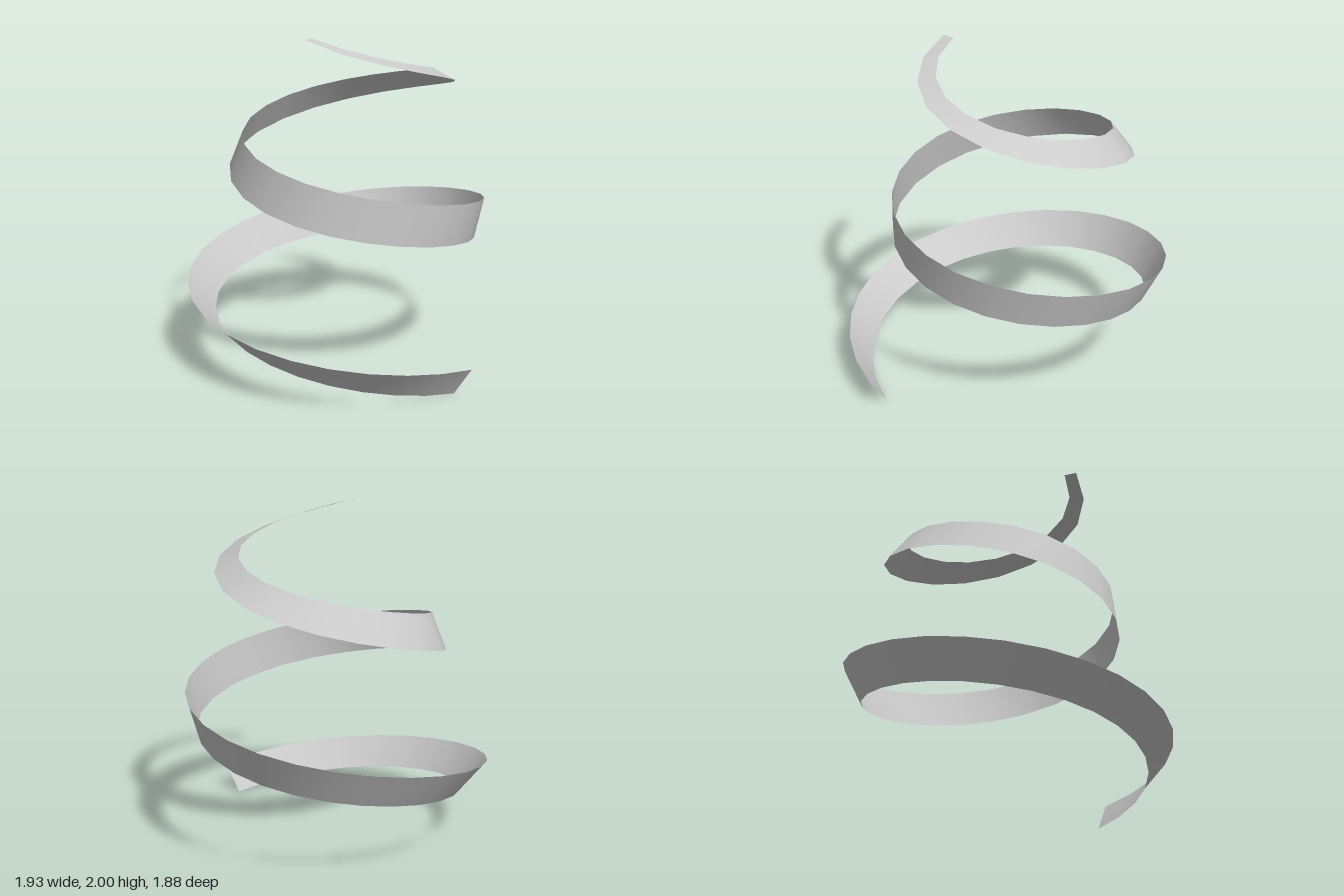
import * as THREE from 'three';

const SEGMENTS = 50;
const START = THREE.MathUtils.degToRad(2.8);
const END = THREE.MathUtils.degToRad(792);
const R_TOP = 0.486, R_BOTTOM = 0.975;
const Y_TOP = 2.0, Y_BOTTOM = 0.09;
const CENTRE = new THREE.Vector3(-0.024, 0, -0.076);

// Ribbon width vector (outward, upward) at even steps of angle: it twists as it descends
const WIDTH = new THREE.CatmullRomCurve3([
  [-0.075, 0], [-0.125, 0.05], [-0.14, 0.13], [-0.105, 0.2], [-0.048, 0.25],
  [0.03, 0.25], [0.09, 0.233], [0.138, 0.205], [0.17, 0.167], [0.112, 0.18],
].map(([r, y]) => new THREE.Vector3(r, y, 0)), false, 'catmullrom');

// Upper and lower edge points of the ribbon at u = 0 (top) to 1 (bottom)
function edges(u) {
  // even steps along the spiral's length
  const r = Math.sqrt(R_TOP ** 2 + (R_BOTTOM ** 2 - R_TOP ** 2) * u);
  const t = (r - R_TOP) / (R_BOTTOM - R_TOP);
  const a = START + (END - START) * t;
  const slope = (Y_TOP - Y_BOTTOM) / (END - START) / r;

  const outward = new THREE.Vector3(Math.sin(a), 0, Math.cos(a));
  const forward = new THREE.Vector3(Math.cos(a), 0, -Math.sin(a));
  const middle = outward.clone().multiplyScalar(r).add(CENTRE);
  middle.y = Y_TOP + (Y_BOTTOM - Y_TOP) * t;

  // the cross line stays square to the sloping path
  const w = WIDTH.getPoint(t);
  const h = w.y / (1 + slope * slope);
  const half = outward.multiplyScalar(w.x)
    .addScaledVector(forward, slope * h)
    .add(new THREE.Vector3(0, h, 0))
    .multiplyScalar(0.5);
  return [middle.clone().add(half), middle.clone().sub(half)];
}

export function createModel() {
  const positions = [], indices = [];
  for (let i = 0; i <= SEGMENTS; i++) {
    for (const p of edges(i / SEGMENTS)) positions.push(p.x, p.y, p.z);
    if (i < SEGMENTS) {
      const k = 2 * i;
      indices.push(k, k + 1, k + 2, k + 1, k + 3, k + 2);
    }
  }
  const geometry = new THREE.BufferGeometry();
  geometry.setAttribute('position', new THREE.Float32BufferAttribute(positions, 3));
  geometry.setIndex(indices);
  geometry.computeVertexNormals();

  const ribbon = new THREE.Mesh(geometry, new THREE.MeshStandardMaterial({
    color: 0xcccccc, side: THREE.DoubleSide,
  }));
  ribbon.name = 'spiralRibbon';

  const group = new THREE.Group();
  group.name = 'twistedSpiral';
  group.add(ribbon);
  return group;
}
